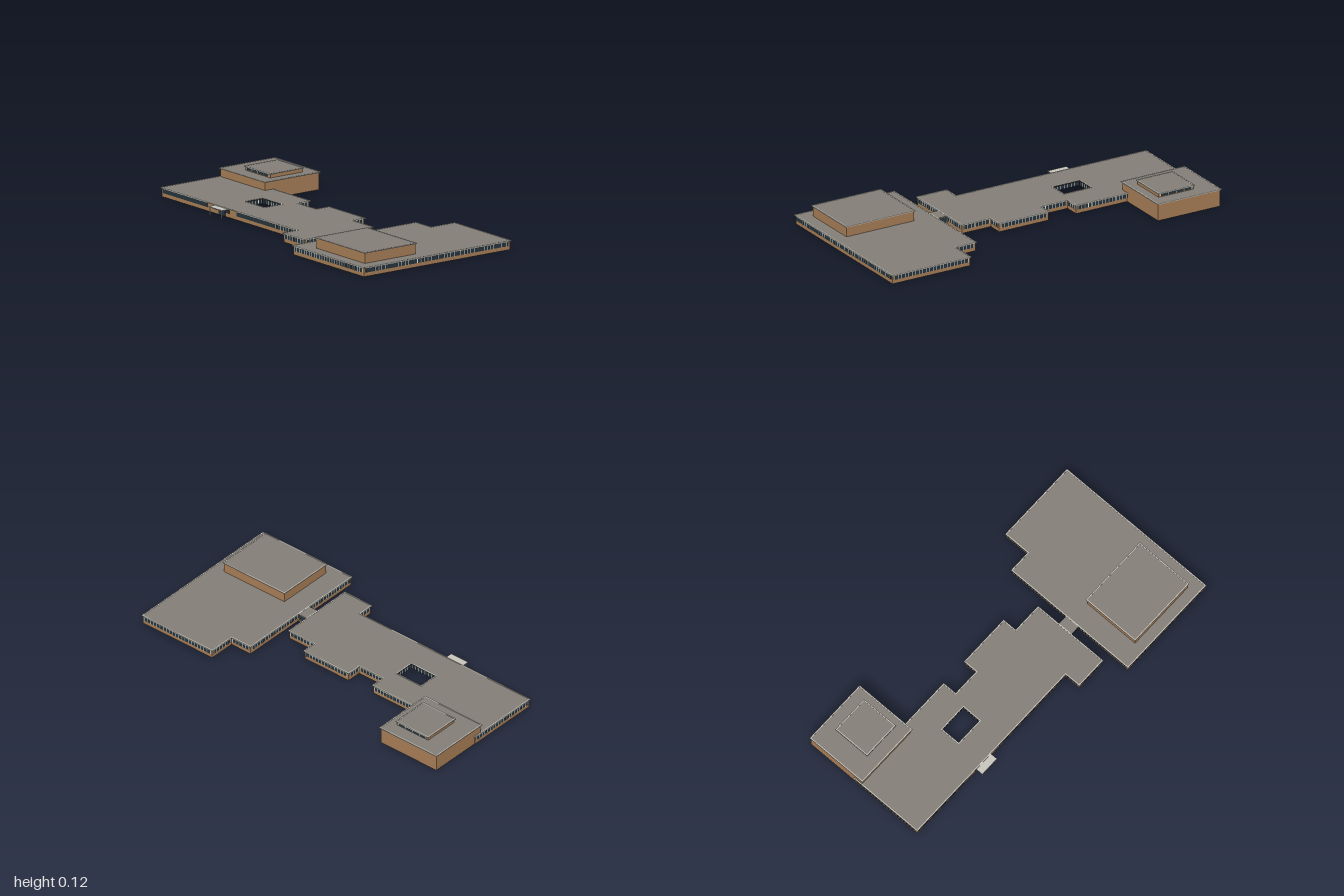
import * as THREE from 'three';
import { mergeGeometries } from 'three/addons/utils/BufferGeometryUtils.js';

const mat = (name, color) => {
  const m = new THREE.MeshStandardMaterial({ color });
  m.name = name;
  return m;
};
const OVERHANG = 0.006, WALL = 0.004, SLAB = 0.005;

export function createModel() {
  const brick = mat('brick', 0xa57c55);
  const roofing = mat('roofing', 0x827d76);
  const trim = mat('trim', 0xc6c3ba);
  const glass = mat('glass', 0x26333b);
  const frame = mat('window frame', 0xe2e2dc);

  const model = new THREE.Group();
  model.name = 'schoolBuilding';

  const add = (parent, name, geometry, material) => {
    const mesh = new THREE.Mesh(geometry, material);
    mesh.name = name;
    parent.add(mesh);
    return mesh;
  };
  const box = (w, h, d, x, y, z) => new THREE.BoxGeometry(w, h, d).translate(x, y, z);

  // Outward direction of the edge leaving point i; the solid lies on the other side
  const normal = (pts, i) => {
    const a = pts[i], b = pts[(i + 1) % pts.length];
    const dx = b[0] - a[0], dz = b[1] - a[1], l = Math.hypot(dx, dz);
    return [-dz / l, dx / l];
  };
  // Move a right-angled outline towards the solid
  const inset = (pts, o) => pts.map((p, i) => {
    const n = normal(pts, i), m = normal(pts, (i + pts.length - 1) % pts.length);
    return [p[0] - o * (n[0] + m[0]), p[1] - o * (n[1] + m[1])];
  });
  const prism = (outer, holes, y, h) => {
    const v = (pts) => pts.map(([x, z]) => new THREE.Vector2(x, -z));
    const shape = new THREE.Shape(v(outer));
    shape.holes = holes.map((p) => new THREE.Path(v(p)));
    return new THREE.ExtrudeGeometry(shape, { depth: h, bevelEnabled: false })
      .rotateX(-Math.PI / 2).translate(0, y, 0);
  };
  const rect = (x0, x1, z0, z1) => [[x0, z1], [x1, z1], [x1, z0], [x0, z0]];

  // Glass strips with mullions on one wall; a span is [from, to, spacing or list of positions]
  function windowBand(parent, pts, i, y0, y1, spans, spacing) {
    const a = pts[i], b = pts[(i + 1) % pts.length], n = normal(pts, i);
    const length = Math.hypot(b[0] - a[0], b[1] - a[1]);
    const band = new THREE.Group();
    band.name = 'windowBand';
    band.position.set(a[0], (y0 + y1) / 2, a[1]);
    band.rotation.y = Math.atan2(n[0], n[1]);
    parent.add(band);
    for (const [from, to, step] of spans || [[0.011, length - 0.011, spacing]]) {
      add(band, 'glassStrip', box(to - from, y1 - y0, 0.003, (from + to) / 2, 0, 0.001), glass);
      let at = step;
      if (!Array.isArray(step)) {
        if (!step) continue;
        const count = Math.max(1, Math.round((to - from) / step));
        at = Array.from({ length: count + 1 }, (_, k) => from + (to - from) * k / count);
      }
      const bars = at.map((t) => box(0.0035, y1 - y0, 0.003, t, 0, 0.0025));
      add(band, 'mullions', mergeGeometries(bars), frame);
    }
  }

  // Hollow walls, flat roof and pale roof edge; loops are the roof outline and any courtyards
  function block(name, loops, y0, top, windows) {
    const g = new THREE.Group();
    g.name = name;
    model.add(g);
    loops.forEach((pts, k) => {
      const ring = (o, t, y, h) => {
        const p = [inset(pts, o), inset(pts, o + t)];
        return k ? prism(p[1], [p[0]], y, h) : prism(p[0], [p[1]], y, h);
      };
      add(g, 'walls', ring(OVERHANG, WALL, y0, top - SLAB - y0), brick);
      add(g, 'roofEdge', ring(0, 0.006, top - SLAB, SLAB), trim);
      if (!windows) return;
      const wall = inset(pts, OVERHANG);
      wall.forEach((_, i) => {
        const spans = windows.spans && windows.spans[`${k}:${i}`];
        if (windows.only && !windows.only.includes(i)) return;
        windowBand(g, wall, i, windows.y0, windows.y1, spans, windows.spacing);
      });
    });
    const [outer, ...holes] = loops.map((p) => inset(p, 0.006));
    add(g, 'roof', prism(outer, holes, top - SLAB, SLAB - 0.001), roofing);
    return g;
  }

  // Long wing with a courtyard
  const mainOutline = [
    [-1, 0.264], [0.152, 0.264], [0.152, 0.357], [0.339, 0.357], [0.339, -0.093], [0.165, -0.093],
    [0.165, -0.176], [-0.144, -0.176], [-0.144, -0.093], [-0.3, -0.093], [-0.3, -0.176], [-1, -0.176],
  ];
  const courtyard = [[-0.493, -0.011], [-0.333, -0.011], [-0.333, 0.099], [-0.493, 0.099]];
  block('mainWing', [mainOutline, courtyard], 0, 0.05, {
    y0: 0.021, y1: 0.044, spacing: 0.021,
    spans: { '0:0': [[0.01, 0.384, 0], [0.449, 0.569, 0], [0.634, 0.964, 0], [0.964, 1.14, 0.021]] },
  });

  // Square wing with unevenly spaced mullions along its outer side
  const sideMullions = [
    0.073, 0.095, 0.113, 0.136, 0.224, 0.244, 0.265, 0.286, 0.345, 0.368, 0.391, 0.414, 0.438, 0.482, 0.523,
    0.539, 0.562, 0.585, 0.626, 0.65, 0.671, 0.691, 0.714, 0.779, 0.8, 0.82, 0.841, 0.89, 0.927,
  ];
  const sideOutline = [[0.392, 0.48], [1, 0.48], [1, -0.482], [0.52, -0.482], [0.52, -0.328], [0.392, -0.328]];
  block('sideWing', [sideOutline], 0, 0.05, {
    y0: 0.021, y1: 0.044, spacing: 0.021,
    spans: { '0:1': [[0.011, 0.939, sideMullions]] },
  });

  // Tall halls and the rooftop lantern
  block('sideHall', [rect(0.512, 0.932, 0.081, 0.422)], 0, 0.108);
  block('gymHall', [rect(-0.998, -0.61, -0.48, -0.116)], 0, 0.096);
  block('gymLantern', [rect(-0.88, -0.658, -0.407, -0.188)], 0.092, 0.119, {
    y0: 0.099, y1: 0.113, spacing: 0.05, only: [0, 2],
  });

  // Glazed link between the wings
  const link = new THREE.Group();
  link.name = 'link';
  model.add(link);
  add(link, 'linkRoof', box(0.066, 0.004, 0.088, 0.366, 0.0475, 0.095), roofing);
  for (const s of [-1, 1]) {
    add(link, 'linkWall', box(0.066, 0.046, 0.004, 0.366, 0.023, 0.095 + s * 0.036), brick);
    add(link, 'linkGlass', box(0.05, 0.034, 0.003, 0.366, 0.028, 0.095 + s * 0.039), glass);
  }

  // Entrance with doors, canopy and posts
  const entrance = new THREE.Group();
  entrance.name = 'entrance';
  model.add(entrance);
  add(entrance, 'doors', box(0.055, 0.042, 0.004, -0.483, 0.021, 0.2595), glass);
  add(entrance, 'canopy', box(0.114, 0.004, 0.047, -0.484, 0.043, 0.2815), trim);
  for (const x of [-0.533, -0.435]) {
    add(entrance, 'canopyPost', box(0.003, 0.041, 0.003, x, 0.0205, 0.3), frame);
  }

  return model;
}
